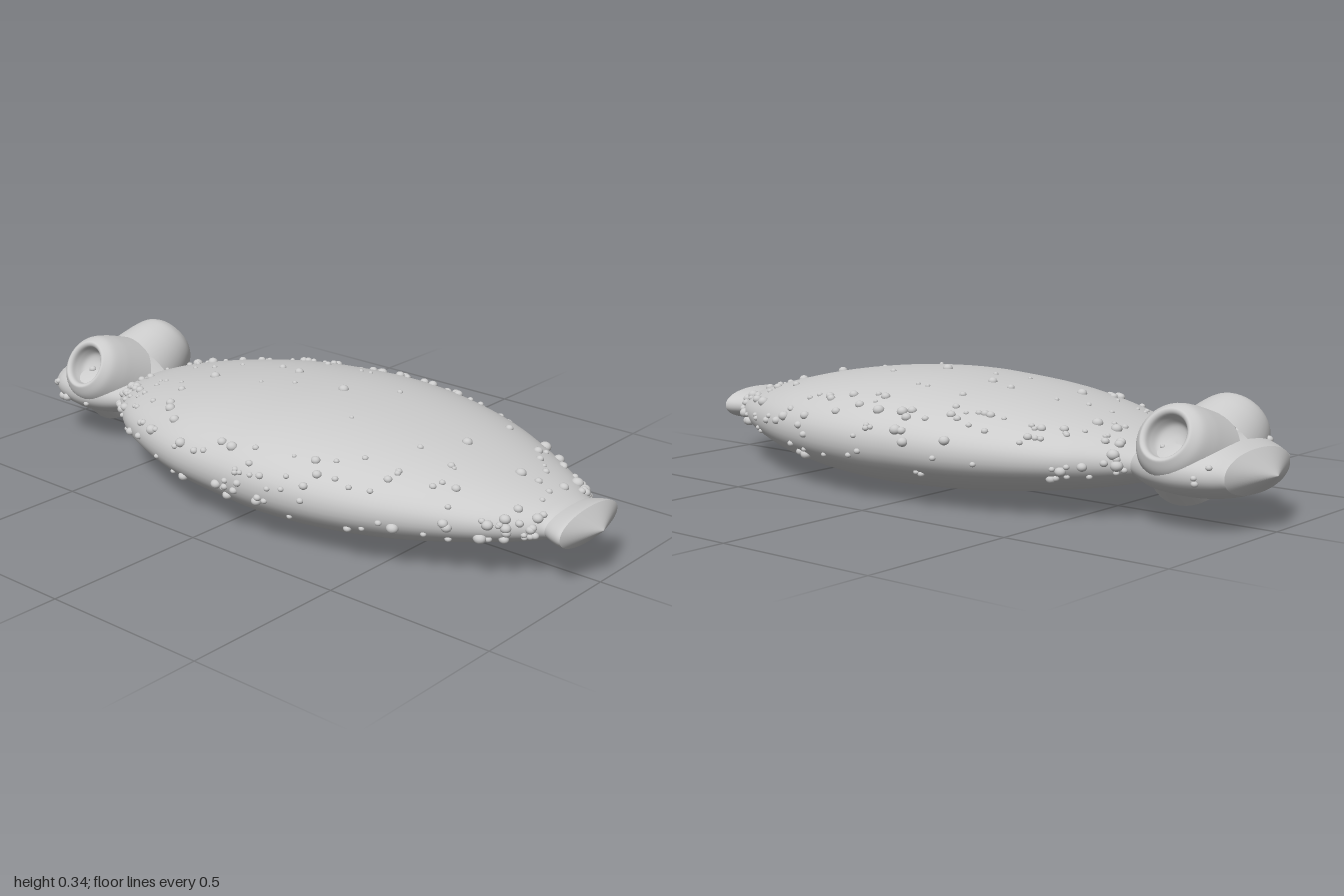
import * as THREE from 'three';
import { mergeGeometries } from 'three/addons/utils/BufferGeometryUtils.js';

const material = new THREE.MeshStandardMaterial({ color: 0xcccccc });
const pocketMaterial = new THREE.MeshStandardMaterial({ color: 0xcccccc, side: THREE.DoubleSide });
const SIDES = 64;

// Stations along x: [x, half width in z, half height in y]
const BODY = [
  [-0.70, 0.12, 0.04], [-0.65, 0.16, 0.055], [-0.58, 0.22, 0.078], [-0.5, 0.28, 0.097],
  [-0.38, 0.34, 0.12], [-0.2, 0.4, 0.146], [0, 0.424, 0.161], [0.13, 0.43, 0.165],
  [0.3, 0.412, 0.158], [0.5, 0.357, 0.135], [0.68, 0.27, 0.1], [0.8, 0.195, 0.071],
  [0.86, 0.145, 0.055], [0.89, 0.118, 0.046], [0.92, 0.115, 0.044],
];
const HEAD = [
  [-0.94, 0.165, 0.06], [-0.9, 0.19, 0.073], [-0.84, 0.208, 0.083], [-0.78, 0.213, 0.085],
  [-0.71, 0.195, 0.077], [-0.65, 0.16, 0.056], [-0.6, 0.12, 0.04],
];
const TAIL = [[0.86, 0.1, 0.038], [0.89, 0.114, 0.042], [0.92, 0.13, 0.047], [0.945, 0.139, 0.05], [0.955, 0.139, 0.05]];

const spline = (rows) => new THREE.CatmullRomCurve3(rows.map((r) => new THREE.Vector3(...r)), false, 'centripetal');

// Point on the oval section of a station, at angle t from +z towards +y
function sectionPoint({ x, y: halfWidth, z: halfHeight }, t) {
  const round = (v) => Math.sign(v) * Math.abs(v) ** 0.94;
  const centre = 0.15 + 0.11 * halfHeight;
  return new THREE.Vector3(x, centre + halfHeight * round(Math.sin(t)), halfWidth * round(Math.cos(t)));
}

// Smooth skin over a list of stations
function loft(stations) {
  const positions = [], index = [];
  stations.forEach((s, i) => {
    for (let j = 0; j < SIDES; j++) {
      positions.push(...sectionPoint(s, (j / SIDES) * Math.PI * 2).toArray());
      if (i === stations.length - 1) continue;
      const a = i * SIDES + j, b = i * SIDES + ((j + 1) % SIDES);
      index.push(a, a + SIDES, b, b, a + SIDES, b + SIDES);
    }
  });
  const geometry = new THREE.BufferGeometry();
  geometry.setAttribute('position', new THREE.Float32BufferAttribute(positions, 3));
  geometry.setIndex(index);
  geometry.computeVertexNormals();
  return geometry;
}

function seededRandom(seed) {
  return () => {
    seed = (seed * 1664525 + 1013904223) % 4294967296;
    return seed / 4294967296;
  };
}

// Half-sunk warts over the back, crowded towards the flanks
function warts(curve, count, seed, from, to) {
  const random = seededRandom(seed), parts = [];
  for (let i = 0; i < count; i++) {
    const u = from + (to - from) * random();
    const flank = random() < 0.7;
    let t = flank ? -0.45 + 1.3 * random() : 0.5 + 1.1 * random();
    if (random() < 0.5) t = Math.PI - t;
    const r = (flank ? 0.008 : 0.006) + 0.009 * random() ** 2;
    const wart = new THREE.IcosahedronGeometry(r, 2);
    wart.scale(1.1, 0.9, 1);
    const p = sectionPoint(curve.getPoint(u), t);
    wart.translate(p.x, p.y, p.z);
    parts.push(wart);
  }
  return mergeGeometries(parts);
}

export function createModel() {
  const group = new THREE.Group();
  const add = (name, geometry, mat = material) => {
    const mesh = new THREE.Mesh(geometry, mat);
    mesh.name = name;
    group.add(mesh);
    return mesh;
  };

  // Flattened oval body and its warts
  const bodyCurve = spline(BODY);
  add('body', loft(bodyCurve.getPoints(70)));
  add('bodyWarts', warts(bodyCurve, 270, 7, 0.08, 0.9));

  // Head with a blunt wedge snout
  const headCurve = spline(HEAD);
  const headStations = headCurve.getPoints(28);
  add('head', loft(headStations));
  add('headWarts', warts(headCurve, 16, 21, 0.1, 0.7));
  add('snout', loft([new THREE.Vector3(-1, 0.001, 0.001), headStations[0]]));

  // Flared tail stub with a pointed end
  const tailStations = spline(TAIL).getPoints(16);
  add('tail', loft(tailStations));
  add('tailTip', loft([tailStations.at(-1), new THREE.Vector3(1, 0.001, 0.001)]));

  // Turret eyes with hollow sockets, facing out and slightly up
  const outer = new THREE.SplineCurve([
    [0.135, -0.16], [0.122, -0.1], [0.112, -0.06], [0.098, -0.024], [0.079, -0.003], [0.07, 0.001],
    [0.061, -0.006], [0.056, -0.025], [0.046, -0.046], [0.025, -0.057], [0, -0.06],
  ].map((p) => new THREE.Vector2(...p)));
  const eyeGeometry = new THREE.LatheGeometry(outer.getPoints(44), 40);
  for (const side of [1, -1]) {
    const eye = add(side > 0 ? 'frontEye' : 'backEye', eyeGeometry, pocketMaterial);
    eye.position.set(-0.775, 0.258, side * 0.188);
    const axis = new THREE.Vector3(0, 0.5, side * 0.87).normalize();
    eye.quaternion.setFromUnitVectors(new THREE.Vector3(0, 1, 0), axis);
  }
  return group;
}
